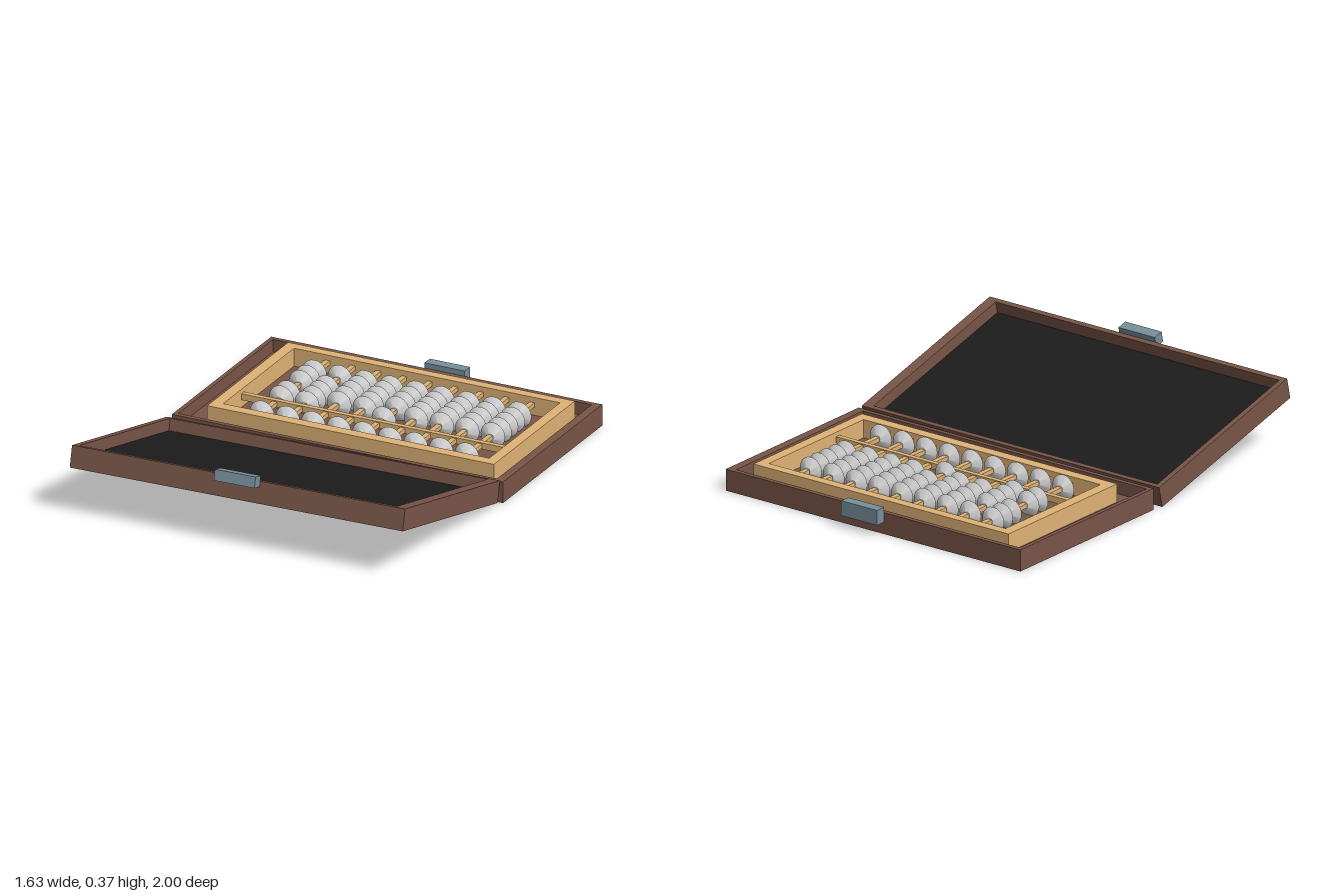
import * as THREE from 'three';
import { toCreasedNormals } from 'three/addons/utils/BufferGeometryUtils.js';

const mat = (name, color) => {
  const m = new THREE.MeshStandardMaterial({ color });
  m.name = name;
  return m;
};

export function createModel() {
  const model = new THREE.Group();
  model.name = 'abacusCase';

  const brown = mat('dark brown wood', 0x795548);
  const tan = mat('light wood', 0xe0b477);
  const black = mat('black lining', 0x1c1c1c);
  const steel = mat('blue grey metal', 0x78909c);
  const silver = mat('silver beads', 0xe0e0e0);

  const add = (parent, name, geometry, material) => {
    const mesh = new THREE.Mesh(geometry, material);
    mesh.name = name;
    parent.add(mesh);
    return mesh;
  };

  // Box given by its limits on each axis
  const box = (parent, name, material, [x0, x1], [y0, y1], [z0, z1]) => {
    const mesh = add(parent, name, new THREE.BoxGeometry(x1 - x0, y1 - y0, z1 - z0), material);
    mesh.position.set((x0 + x1) / 2, (y0 + y1) / 2, (z0 + z1) / 2);
    return mesh;
  };

  // Rectangular ring lying flat; outer and inner are [x0, x1, z0, z1]
  const ring = (parent, name, material, outer, inner, y0, y1) => {
    const trace = (path, [x0, x1, z0, z1]) => {
      path.moveTo(x0, -z0);
      path.lineTo(x0, -z1);
      path.lineTo(x1, -z1);
      path.lineTo(x1, -z0);
      path.closePath();
      return path;
    };
    const shape = trace(new THREE.Shape(), outer);
    shape.holes.push(trace(new THREE.Path(), inner));
    const geometry = new THREE.ExtrudeGeometry(shape, { depth: y1 - y0, bevelEnabled: false });
    geometry.rotateX(-Math.PI / 2);
    add(parent, name, geometry, material).position.y = y0;
  };

  // Base tray
  const base = new THREE.Group();
  base.name = 'base';
  base.position.x = 0.005;
  model.add(base);
  box(base, 'baseFloor', brown, [-0.81, 0.81], [0, 0.04], [-0.95, 0]);
  ring(base, 'baseRim', brown, [-0.81, 0.81, -0.95, 0], [-0.79, 0.77, -0.927, -0.022], 0.04, 0.1);
  box(base, 'baseLatch', steel, [-0.06, 0.137], [0.055, 0.125], [-1, -0.95]);

  // Lid, opened forward and slightly askew
  const lid = new THREE.Group();
  lid.name = 'lid';
  lid.position.set(-0.004, 0.006, 0.042);
  lid.rotation.set(-0.24, 0.012, 0.007, 'ZYX');
  model.add(lid);
  box(lid, 'lidPanel', brown, [-0.81, 0.81], [0, 0.04], [0, 0.953]);
  ring(lid, 'lidRim', brown, [-0.81, 0.81, 0, 0.953], [-0.785, 0.76, 0.02, 0.928], 0.04, 0.1);
  box(lid, 'lidLining', black, [-0.785, 0.76], [0.04, 0.045], [0.02, 0.928]);
  box(lid, 'lidLatch', steel, [-0.093, 0.105], [0.075, 0.125], [0.953, 1.004]);

  // Hinges between base and lid
  for (const x of [-0.45, 0.507]) {
    box(model, 'hinge', steel, [x - 0.062, x + 0.062], [0.002, 0.05], [0, 0.048]);
  }

  // Counting frame with its dividing bar
  const abacus = new THREE.Group();
  abacus.name = 'abacus';
  abacus.position.x = 0.005;
  model.add(abacus);
  ring(abacus, 'frame', tan, [-0.69, 0.713, -0.878, -0.103], [-0.638, 0.664, -0.832, -0.155], 0.04, 0.125);
  box(abacus, 'dividingBar', tan, [-0.638, 0.664], [0.075, 0.105], [-0.352, -0.328]);

  // Bead: two cones joined at a sharp rim, closed onto the axis
  const profile = [[0, -0.025], [0.018, -0.025], [0.06, 0], [0.018, 0.025], [0, 0.025]]
    .map(([r, y]) => new THREE.Vector2(r, y));
  const beadGeometry = toCreasedNormals(
    new THREE.LatheGeometry(profile, 20).rotateX(Math.PI / 2), 0.5);

  // Each rod carries five beads in six slots; this lists the empty slot
  const emptySlots = [3, 1, 5, 5, 4, 5, 5, 5, 5];
  emptySlots.forEach((empty, i) => {
    const x = -0.475 + i * 0.1253;
    box(abacus, 'rod', tan, [x - 0.012, x + 0.012], [0.08, 0.1], [-0.835, -0.152]);
    for (let slot = 0; slot < 6; slot++) {
      if (slot === empty) continue;
      add(abacus, 'bead', beadGeometry, silver).position.set(x, 0.09, -0.709 + slot * 0.063);
    }
    add(abacus, 'upperBead', beadGeometry, silver).position.set(x, 0.09, -0.209);
  });

  return model;
}
